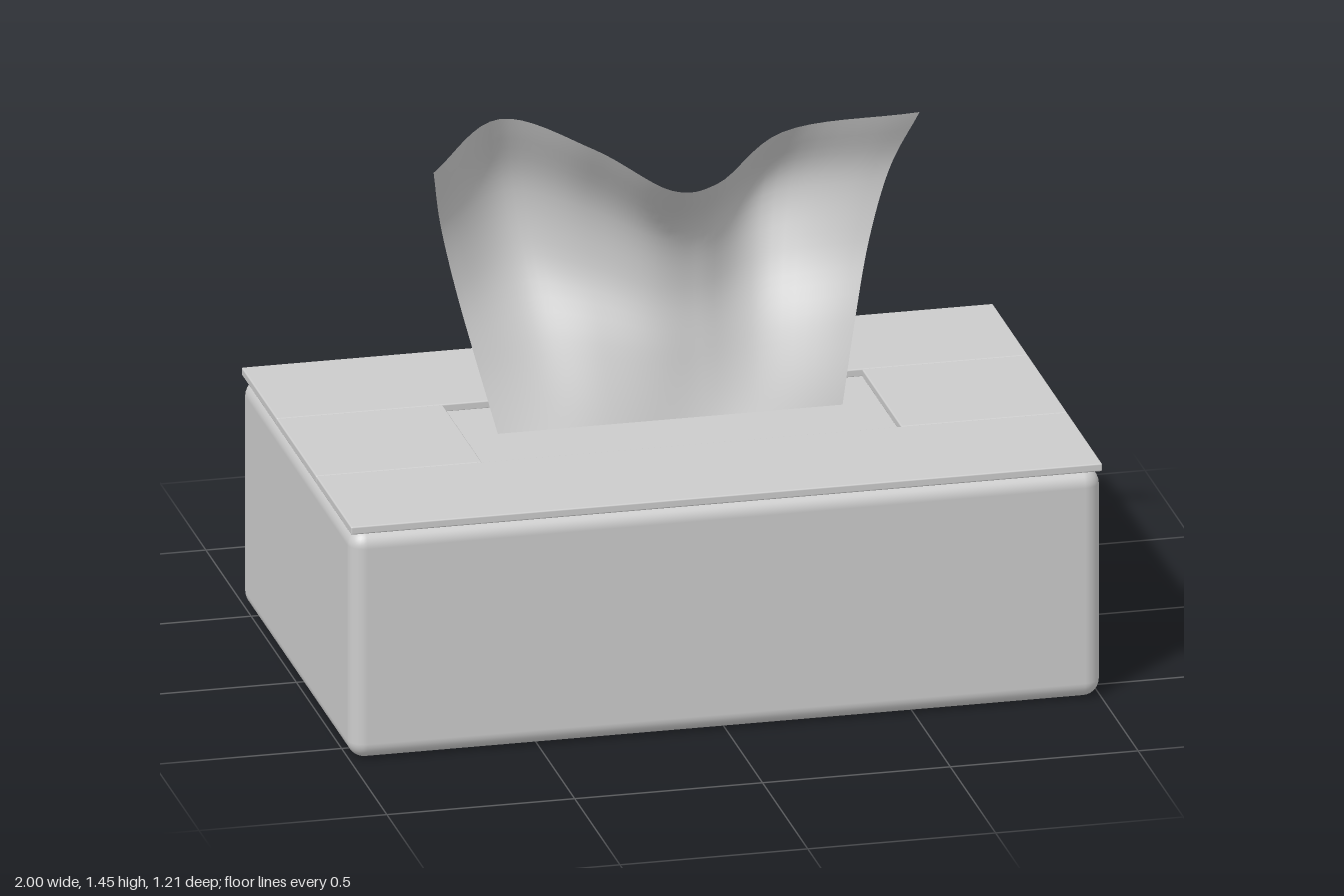
import * as THREE from 'three';
import { RoundedBoxGeometry } from 'three/addons/geometries/RoundedBoxGeometry.js';

const grey = new THREE.MeshStandardMaterial({ color: 0xcccccc });
const sheet = new THREE.MeshStandardMaterial({ color: 0xcccccc, side: THREE.DoubleSide });

function block(name, w, h, d, r, x, y, z) {
  const mesh = new THREE.Mesh(new RoundedBoxGeometry(w, h, d, 4, r), grey);
  mesh.name = name;
  mesh.position.set(x, y, z);
  return mesh;
}

// Vertical folds of the tissue: [s across, top height, z at five even steps from slot to top]
const folds = [
  [-1.00, 1.365, -0.02, -0.09, -0.14, -0.13, -0.03],
  [-0.65, 1.450, -0.02, -0.13, -0.235, -0.25, -0.155],
  [-0.33, 1.410, -0.02, -0.09, -0.16, -0.14, 0.02],
  [-0.04, 1.310, -0.02, -0.06, -0.10, -0.07, 0.10],
  [0.20, 1.280, -0.02, -0.075, -0.125, -0.12, 0.00],
  [0.53, 1.345, -0.02, -0.12, -0.22, -0.26, -0.16],
  [1.00, 1.450, -0.02, -0.08, -0.12, -0.09, 0.05],
];

function tissueGeometry() {
  const cols = 48, rows = 24, base = 0.632;
  const geo = new THREE.PlaneGeometry(1, 1, cols, rows);
  const pos = geo.attributes.position;
  const profiles = folds.map(([s, top, ...z]) => new THREE.CatmullRomCurve3(
    z.map((depth, i) => new THREE.Vector3(s, base + (top - base) * i / 4, depth))));
  for (let j = 0; j <= rows; j++) {
    // A smooth curve across all the folds at this height
    const across = new THREE.CatmullRomCurve3(profiles.map(p => p.getPoint(1 - j / rows)));
    for (let i = 0; i <= cols; i++) {
      const p = across.getPoint(i / cols);
      // The sheet flares outward as it rises
      const half = 0.463 + 0.23 * (p.y - 0.65);
      pos.setXYZ(j * (cols + 1) + i, p.x * half, p.y, p.z);
    }
  }
  geo.computeVertexNormals();
  return geo;
}

export function createModel() {
  const model = new THREE.Group();
  model.name = 'tissueBox';

  // Rounded container
  model.add(block('body', 2, 0.63, 1.21, 0.045, 0, 0.315, 0));

  // Lid of four thin panels around the opening
  const lid = new THREE.Group();
  lid.name = 'lid';
  const slotX = 0.558, slotZ = 0.217, edgeZ = 0.605;
  for (const side of [1, -1]) {
    lid.add(block(side > 0 ? 'frontPanel' : 'backPanel', 2, 0.022, edgeZ - slotZ, 0.004,
      0, 0.639, side * (edgeZ + slotZ) / 2));
    lid.add(block(side > 0 ? 'leftPanel' : 'rightPanel', 1 - slotX, 0.022, slotZ * 2, 0.004,
      side * (1 + slotX) / 2, 0.639, 0));
  }
  model.add(lid);

  // Tissue curling out of the opening
  const tissue = new THREE.Mesh(tissueGeometry(), sheet);
  tissue.name = 'tissue';
  model.add(tissue);

  return model;
}
